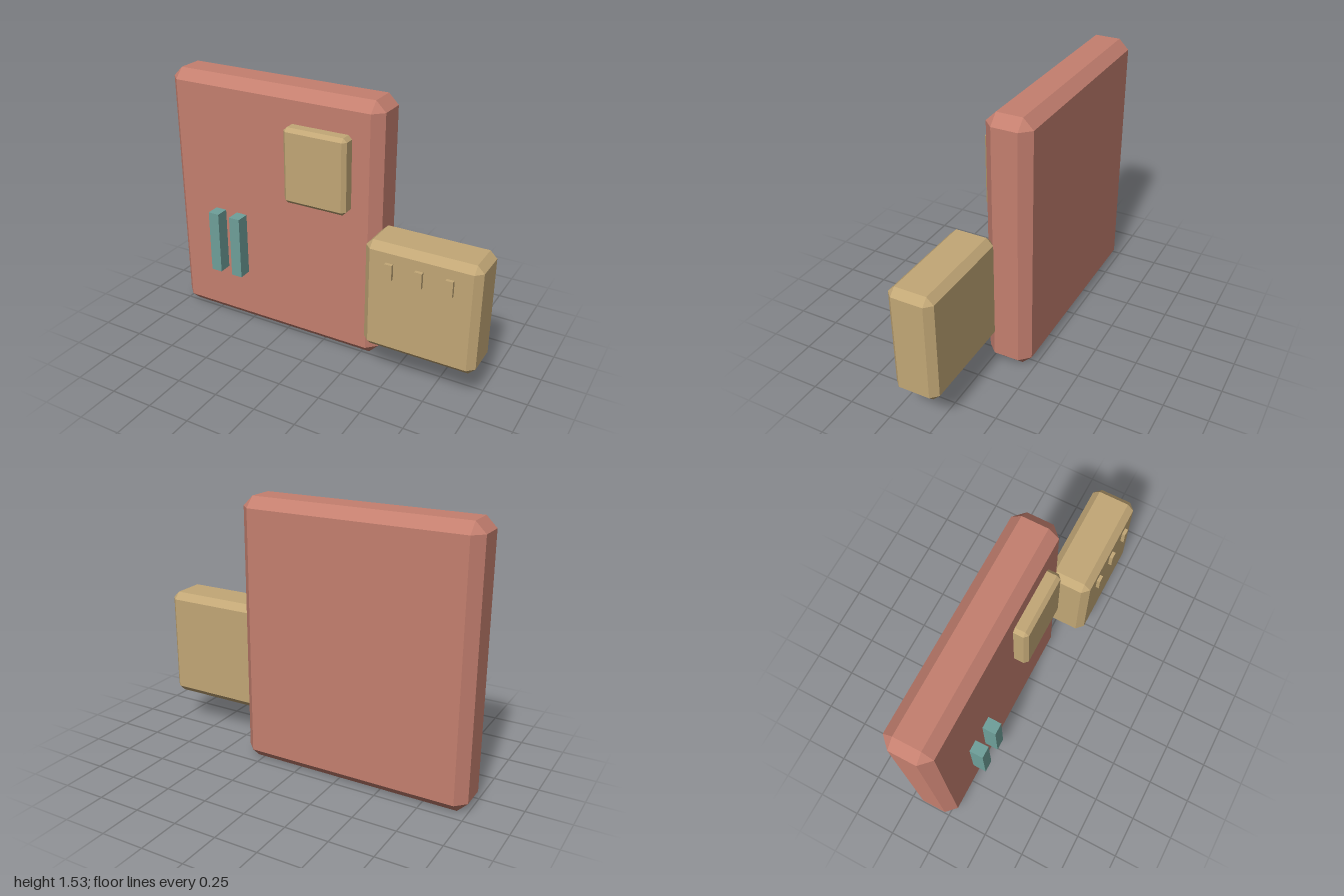
import * as THREE from 'three';
import { ConvexGeometry } from 'three/addons/geometries/ConvexGeometry.js';

const paint = (name, color) => {
  const m = new THREE.MeshStandardMaterial({ color });
  m.name = name;
  return m;
};

// Box with 45 degree chamfers on every edge and cut corners
function chamferBox(w, h, d, c) {
  const pts = [];
  for (const sx of [-1, 1]) for (const sy of [-1, 1]) for (const sz of [-1, 1]) {
    const x = w / 2, y = h / 2, z = d / 2;
    pts.push(
      new THREE.Vector3(sx * x, sy * (y - c), sz * (z - c)),
      new THREE.Vector3(sx * (x - c), sy * y, sz * (z - c)),
      new THREE.Vector3(sx * (x - c), sy * (y - c), sz * z)
    );
  }
  return new ConvexGeometry(pts);
}

export function createModel() {
  const group = new THREE.Group();
  const red = paint('brick red', 0xc47f6f);
  const tan = paint('tan', 0xc2a776);
  const teal = paint('teal', 0x6fa09a);

  // Places a box by its extents on each axis
  const block = (name, material, [x0, x1], [y0, y1], [z0, z1], chamfer = 0) => {
    const size = [x1 - x0, y1 - y0, z1 - z0];
    const geometry = chamfer ? chamferBox(...size, chamfer) : new THREE.BoxGeometry(...size);
    const mesh = new THREE.Mesh(geometry, material);
    mesh.name = name;
    mesh.position.set((x0 + x1) / 2, (y0 + y1) / 2, (z0 + z1) / 2);
    group.add(mesh);
  };

  // Main slab and the two raised blocks
  block('mainPanel', red, [-1, 0.35], [0, 1.53], [-0.23, 0.035], 0.058);
  block('frontPad', tan, [-0.195, 0.188], [0.902, 1.34], [-0.03, 0.113], 0.021);
  block('sideBox', tan, [0.352, 1], [0.21, 0.855], [-0.05, 0.21], 0.039);

  // Pair of upright bars on the panel
  for (const x of [-0.678, -0.533])
    block('frontBar', teal, [x - 0.034, x + 0.034], [0.342, 0.722], [0, 0.115]);

  // Row of small tabs on the side box
  for (const x of [0.507, 0.674, 0.842])
    block('sideTab', tan, [x - 0.021, x + 0.021], [0.67, 0.76], [0.19, 0.23]);

  return group;
}
